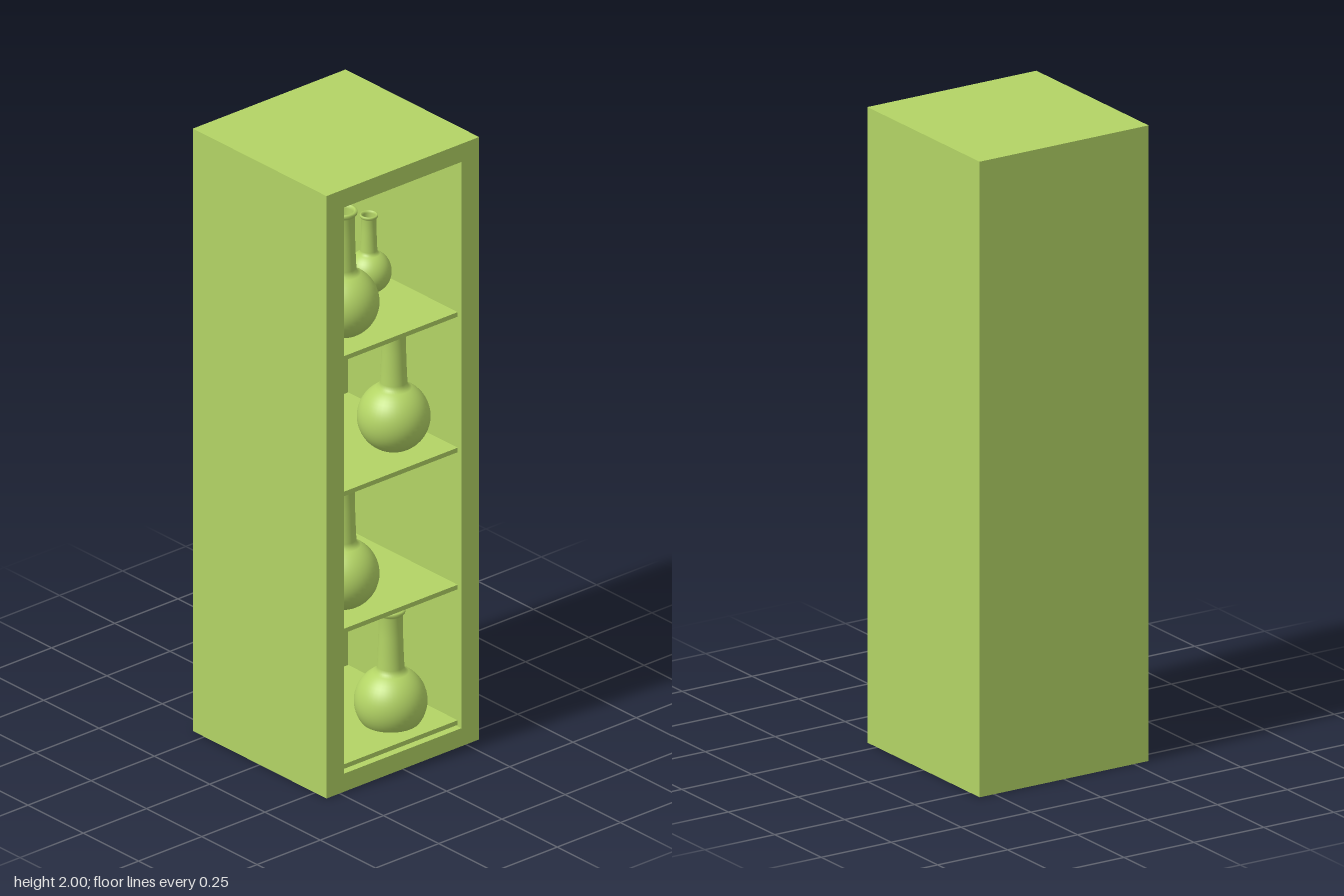
import * as THREE from 'three';

const material = new THREE.MeshStandardMaterial({ color: 0xb3d465 });
const glassMaterial = new THREE.MeshStandardMaterial({ color: 0xb3d465, side: THREE.DoubleSide });

function addMesh(parent, name, geometry, x = 0, y = 0, z = 0, mat = material) {
  const mesh = new THREE.Mesh(geometry, mat);
  mesh.name = name;
  mesh.position.set(x, y, z);
  parent.add(mesh);
  return mesh;
}

function rectangle(target, x0, y0, x1, y1) {
  target.moveTo(x0, y0);
  target.lineTo(x1, y0);
  target.lineTo(x1, y1);
  target.lineTo(x0, y1);
  target.closePath();
  return target;
}

// Round flask with a flat foot, a flared lip and a hollow neck
function flaskGeometry() {
  const points = [new THREE.Vector2(0, 0)];
  const radius = 0.11, centre = 0.1;
  const start = -Math.asin(centre / radius), end = Math.acos(0.043 / radius);
  for (let i = 0; i <= 20; i++) {
    const a = start + (end - start) * i / 20;
    points.push(new THREE.Vector2(radius * Math.cos(a), centre + radius * Math.sin(a)));
  }
  const neck = [[0.041, 0.215], [0.039, 0.26], [0.037, 0.32], [0.037, 0.385], [0.043, 0.392],
    [0.045, 0.399], [0.043, 0.405], [0.036, 0.405], [0.031, 0.395], [0.031, 0.22], [0, 0.21]];
  for (const [r, y] of neck) points.push(new THREE.Vector2(r, y));
  return new THREE.LatheGeometry(points, 40);
}

export function createModel() {
  const model = new THREE.Group();
  model.name = 'displayCabinet';
  const half = 0.302, backZ = -0.21;

  // Cabinet: hollow surround closed by a back slab
  const outline = rectangle(new THREE.Shape(), -half, 0, half, 2);
  outline.holes.push(rectangle(new THREE.Path(), -0.232, 0.06, 0.232, 1.94));
  const surround = new THREE.ExtrudeGeometry(outline, { depth: half - backZ, bevelEnabled: false });
  addMesh(model, 'cabinetSurround', surround, 0, 0, backZ);
  const backDepth = backZ + half;
  addMesh(model, 'cabinetBack', new THREE.BoxGeometry(half * 2, 2, backDepth), 0, 1, backZ - backDepth / 2);

  // Thin shelves, set slightly behind the front edge
  const shelfFront = 0.285, thickness = 0.015;
  const shelf = new THREE.BoxGeometry(0.464, thickness, shelfFront - backZ);
  for (const top of [0.08, 0.53, 0.985, 1.435]) {
    addMesh(model, 'shelf', shelf, 0, top - thickness / 2, (shelfFront + backZ) / 2);
  }

  // Flasks: x, base y, z, scale
  const flask = flaskGeometry();
  const flasks = [
    [-0.105, 1.43, 0.15, 1],
    [0.13, 1.437, 0, 0.62],
    [0.097, 0.985, 0.15, 1],
    [-0.105, 0.528, 0.15, 1],
    [0.085, 0.045, 0.15, 1],
  ];
  for (const [x, y, z, scale] of flasks) {
    addMesh(model, 'flask', flask, x, y, z, glassMaterial).scale.setScalar(scale);
  }
  return model;
}
